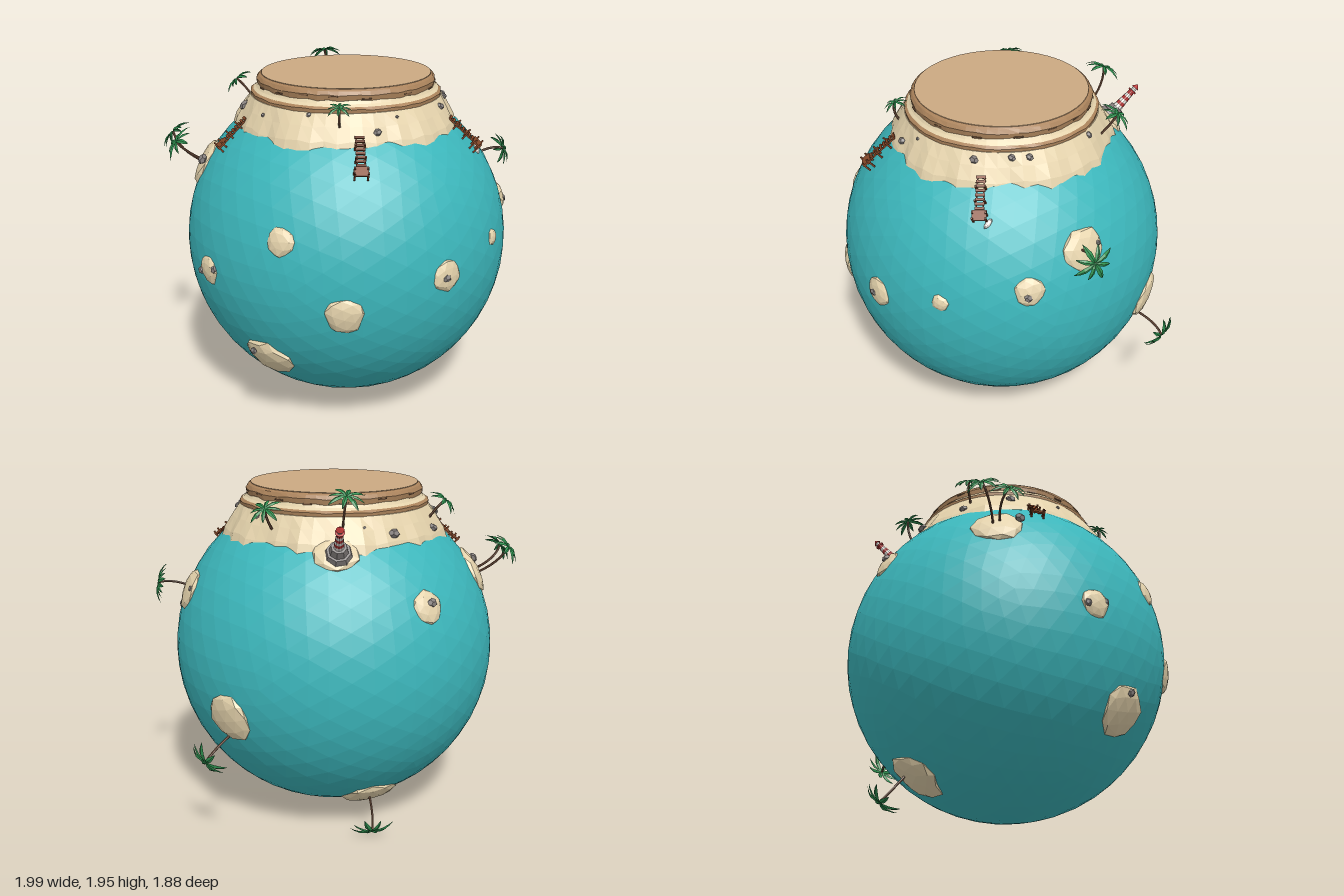
import * as THREE from 'three';

const C = new THREE.Vector3(-0.055, 0.975, -0.01), R = 0.927;
const UP = new THREE.Vector3(0, 1, 0);
const V = (p) => new THREE.Vector3(...p);
const mat = (color, side = THREE.FrontSide) => new THREE.MeshStandardMaterial({ color, flatShading: true, side });
const M = {
  sea: mat(0x3cb7bc), sand: mat(0xe6d4ad, THREE.DoubleSide), cliff: mat(0xac845c, THREE.DoubleSide),
  dark: mat(0x7c5c42), top: mat(0xcba982), rock: mat(0x86807e), trunk: mat(0x75533f),
  leaf: mat(0x2f9150, THREE.DoubleSide), wood: mat(0x87492a), red: mat(0xc23a3a), white: mat(0xeeeae4),
};

function mesh(name, geo, material, parent) {
  const m = new THREE.Mesh(geo, material);
  m.name = name;
  parent.add(m);
  return m;
}

// Outward direction from the globe's centre through a point
const outward = (p) => p.clone().sub(C).normalize();

// Stand an object on the globe, its y axis pointing outward
function stand(obj, p, height = 0) {
  const d = outward(p);
  obj.position.copy(C).addScaledVector(d, R + height);
  obj.quaternion.setFromUnitVectors(UP, d);
  return obj;
}

// Lathe around the globe's axis with a wobbling radius and height
function ring(name, profile, wobble, material, parent, segments = 56) {
  const geo = new THREE.LatheGeometry(profile.map(([r, y]) => new THREE.Vector2(r, y)), segments);
  const pos = geo.attributes.position, rows = profile.length;
  for (let i = 0; i < pos.count; i++) {
    const a = Math.floor(i / rows) % segments / segments * Math.PI * 2, [kr, ky] = wobble[i % rows];
    const w = Math.sin(a * 5 + 1) * 0.5 + Math.sin(a * 11 + 2) * 0.35 + Math.sin(a * 23) * 0.35;
    const s = 1 + kr * w;
    pos.setXYZ(i, pos.getX(i) * s, pos.getY(i) + ky * Math.sin(a * 17 + 3 * w), pos.getZ(i) * s);
  }
  geo.computeVertexNormals();
  const m = mesh(name, geo, material, parent);
  m.position.set(C.x, 0, C.z);
}

// Folded, drooping leaf blades arranged as a star
function crownGeometry(length, count = 8) {
  const rows = [[0, 0.015, 0], [0.25, 0.1, 0.07], [0.55, 0.13, 0.04], [0.82, 0.08, -0.1], [1, 0.004, -0.26]];
  const pos = [], index = [];
  for (let k = 0; k < count; k++) {
    const a = k / count * Math.PI * 2, c = Math.cos(a), s = Math.sin(a), start = pos.length / 3;
    const l = length * (k % 2 ? 0.88 : 1.03);
    for (const [t, w, h] of rows) for (const side of [-1, 0, 1]) {
      const u = t * l, v = side * w * l;
      pos.push(c * u - s * v, (h - Math.abs(side) * w * 0.5) * l, s * u + c * v);
    }
    for (let r = 0; r < rows.length - 1; r++) for (let j = 0; j < 2; j++) {
      const i = start + r * 3 + j;
      index.push(i, i + 1, i + 3, i + 1, i + 4, i + 3);
    }
  }
  const geo = new THREE.BufferGeometry();
  geo.setAttribute('position', new THREE.Float32BufferAttribute(pos, 3));
  geo.setIndex(index);
  geo.computeVertexNormals();
  return geo;
}

function palm(base, crown, length, parent) {
  const g = new THREE.Group();
  g.name = 'palm';
  const b = V(base), t = V(crown), n = outward(b);
  const mid = b.clone().addScaledVector(n, b.distanceTo(t) * 0.6);
  const curve = new THREE.QuadraticBezierCurve3(b.addScaledVector(n, -0.02), mid, t);
  mesh('palmTrunk', new THREE.TubeGeometry(curve, 6, 0.007, 6), M.trunk, g);
  const leaves = mesh('palmLeaves', crownGeometry(length), M.leaf, g);
  leaves.position.copy(t);
  leaves.quaternion.setFromUnitVectors(UP, outward(t).add(curve.getTangent(1).multiplyScalar(0.4)).normalize());
  parent.add(g);
}

function rock(x, y, z, r, parent) {
  const m = mesh('rock', new THREE.DodecahedronGeometry(r), M.rock, parent);
  m.position.set(x, y, z);
  m.quaternion.setFromUnitVectors(UP, outward(m.position));
  m.scale.set(1.1, 0.75, 0.9);
}

// Low sandy mound half sunk in the sea
function island(p, r, parent) {
  const geo = new THREE.IcosahedronGeometry(1, 1), pos = geo.attributes.position;
  for (let i = 0; i < pos.count; i++) {
    const x = pos.getX(i), y = pos.getY(i), z = pos.getZ(i);
    const s = 1 + 0.07 * Math.sin(x * 5 + r * 90) + 0.06 * Math.cos(z * 6 + r * 50);
    pos.setXYZ(i, x * s, y, z * s);
  }
  const m = stand(mesh('island', geo, M.sand, parent), V(p), -0.013);
  m.scale.set(r * 1.08, 0.02 + r * 0.19, r * 1.08);
}

// Plank pier running from the beach down over the water
function pier(from, to, parent) {
  const g = new THREE.Group();
  g.name = 'pier';
  const a = V(from), b = V(to), mid = a.clone().add(b).multiplyScalar(0.5);
  const fwd = b.clone().sub(a), len = fwd.length();
  fwd.normalize();
  const side = outward(mid).cross(fwd).normalize(), up = fwd.clone().cross(side);
  g.quaternion.setFromRotationMatrix(new THREE.Matrix4().makeBasis(side, up, fwd));
  g.position.copy(mid).addScaledVector(up, 0.02);
  const box = (name, w, h, d, x, y, z) =>
    mesh(name, new THREE.BoxGeometry(w, h, d), M.wood, g).position.set(x, y, z);
  for (let i = 0; i < 9; i++) box('plank', 0.05, 0.007, 0.014, 0, 0, (i / 9 - 0.5) * len);
  box('pierEnd', 0.075, 0.01, 0.055, 0, 0, len / 2 - 0.01);
  for (const s of [-1, 1]) {
    box('beam', 0.006, 0.008, len, s * 0.018, -0.006, 0);
    for (const z of [-0.25, 0.1, 0.4, 0.55]) box('post', 0.009, 0.065, 0.009, s * (z > 0.3 ? 0.034 : 0.024), -0.014, z * len);
  }
  parent.add(g);
}

function lighthouse(p, parent) {
  const g = stand(new THREE.Group(), V(p));
  g.name = 'lighthouse';
  const drum = (name, r1, r2, h, y, m, n = 10) =>
    mesh(name, new THREE.CylinderGeometry(r1, r2, h, n), m, g).position.y = y + h / 2;
  drum('rockFoot', 0.065, 0.085, 0.06, -0.02, M.rock, 8);
  drum('rockStep', 0.042, 0.052, 0.04, 0.04, M.rock, 8);
  const radius = (i) => 0.028 - i * 0.0018;
  for (let i = 0; i < 6; i++) drum('towerBand', radius(i + 1), radius(i), 0.02, 0.08 + i * 0.02, i % 2 ? M.red : M.white);
  drum('gallery', 0.026, 0.024, 0.008, 0.2, M.red);
  drum('lantern', 0.014, 0.014, 0.02, 0.208, M.white);
  drum('roof', 0.001, 0.022, 0.025, 0.228, M.red);
  parent.add(g);
}

export function createModel() {
  const g = new THREE.Group();
  g.name = 'islandGlobe';
  mesh('sea', new THREE.IcosahedronGeometry(R, 8), M.sea, g).position.copy(C);

  // Beach and the two stepped cliffs below the flat top
  ring('beach', [[0.655, 1.57], [0.615, 1.685], [0.575, 1.755], [0.535, 1.82], [0.5, 1.83]],
    [[0.025, 0], [0.025, 0.008], [0.015, 0.006], [0, 0], [0, 0]], M.sand, g);
  ring('lowerCliff', [[0.515, 1.805], [0.533, 1.815], [0.535, 1.838], [0.52, 1.85]],
    [[0.004, 0.006], [0.008, 0.007], [0.008, 0.003], [0.006, 0]], M.cliff, g);
  ring('terrace', [[0.522, 1.848], [0.505, 1.862], [0.48, 1.9]], [[0.006, 0], [0.004, 0], [0, 0]], M.sand, g);
  ring('upperCliff', [[0.475, 1.868], [0.496, 1.876], [0.5, 1.905], [0.488, 1.925], [0.475, 1.934], [0.46, 1.934]],
    [[0.004, 0.005], [0.008, 0.006], [0.008, 0.003], [0.005, 0], [0, 0], [0, 0]], M.cliff, g);
  mesh('plateau', new THREE.CylinderGeometry(0.474, 0.474, 0.03, 56), M.top, g).position.set(C.x, 1.922, C.z);

  // Darker slabs set into the upper cliff
  for (let i = 0; i < 16; i++) {
    const a = i * 0.3927 + 0.1 * Math.sin(i * 7);
    const slab = mesh('cliffSlab', new THREE.BoxGeometry(0.05, 0.007, 0.02), M.dark, g);
    slab.position.set(C.x + Math.sin(a) * 0.492, 1.89 + 0.012 * Math.sin(i * 5), C.z + Math.cos(a) * 0.492);
    slab.rotation.y = a;
  }

  // Small islands: position, radius
  for (const [p, r] of [
    [[-0.15, 1.01, 0.91], 0.085], [[0.26, 1.11, 0.85], 0.046], [[0.635, 1.2, 0.57], 0.078],
    [[0.74, 1.36, 0.27], 0.11], [[-0.84, 1.23, 0.4], 0.075], [[-0.66, 0.85, 0.68], 0.098],
    [[-0.82, 0.48, 0.22], 0.135], [[0.8, 0.76, -0.28], 0.13], [[0.05, 0.2, -0.53], 0.145],
    [[-0.085, 1.38, -0.84], 0.088], [[-0.69, 1.43, -0.505], 0.13], [[-0.98, 0.96, -0.08], 0.08],
    [[0.28, 1.66, -0.53], 0.115],
  ]) island(p, r, g);

  // Rocks on the islands
  for (const [x, y, z, r] of [
    [-0.17, 1.01, 0.925, 0.024], [0.64, 1.18, 0.59, 0.024], [0.775, 1.375, 0.19, 0.015],
    [0.81, 0.81, -0.305, 0.036], [-0.9, 0.55, 0.2, 0.022], [-0.1, 1.4, -0.855, 0.028],
    [-0.775, 1.47, -0.41, 0.03], [-0.985, 0.98, -0.02, 0.022], [-0.99, 0.94, -0.14, 0.02],
  ]) rock(x, y, z, r, g);

  // Rocks on the beach, resting on its slope
  for (const [x, z, r] of [
    [-0.3, 0.525, 0.022], [0.19, 0.49, 0.024], [0.34, 0.37, 0.02], [0.4, 0.3, 0.02], [0.49, -0.08, 0.02],
    [-0.54, -0.31, 0.032], [-0.04, -0.6, 0.03], [-0.37, -0.52, 0.026], [-0.17, 0.53, 0.01],
    [-0.62, -0.03, 0.012], [0.12, -0.55, 0.012], [-0.53, 0.25, 0.014],
  ]) {
    const d = Math.hypot(x - C.x, z - C.z);
    rock(x, 1.82 - Math.max(0, d - 0.535) * 1.68, z, r, g);
  }

  // Palms: base, crown, leaf length
  for (const [b, t, l] of [
    [[-0.45, 1.76, 0.4], [-0.46, 1.865, 0.41], 0.075], [[0.49, 1.76, -0.22], [0.545, 1.865, -0.26], 0.1],
    [[0.22, 1.77, -0.5], [0.235, 1.945, -0.555], 0.11], [[-0.38, 1.77, -0.48], [-0.44, 1.86, -0.53], 0.1],
    [[0.74, 1.37, 0.29], [0.885, 1.39, 0.365], 0.115], [[0.81, 0.64, -0.26], [0.95, 0.545, -0.28], 0.13],
    [[0.08, 0.22, -0.58], [0.14, 0.075, -0.69], 0.125], [[-0.74, 1.45, -0.52], [-0.86, 1.56, -0.54], 0.11],
    [[-0.72, 1.43, -0.55], [-0.8, 1.58, -0.67], 0.11],
  ]) palm(b, t, l, g);

  pier([-0.39, 1.7, 0.485], [-0.49, 1.56, 0.615], g);
  pier([0.25, 1.7, 0.5], [0.345, 1.56, 0.625], g);
  pier([-0.6, 1.7, -0.21], [-0.735, 1.56, -0.265], g);
  lighthouse([0.29, 1.65, -0.565], g);

  // Small boat moored beside a pier
  const boat = stand(mesh('boat', new THREE.SphereGeometry(1, 8, 6), M.white, g), V([0.38, 1.53, 0.6]), 0.006);
  boat.scale.set(0.014, 0.012, 0.032);
  return g;
}
